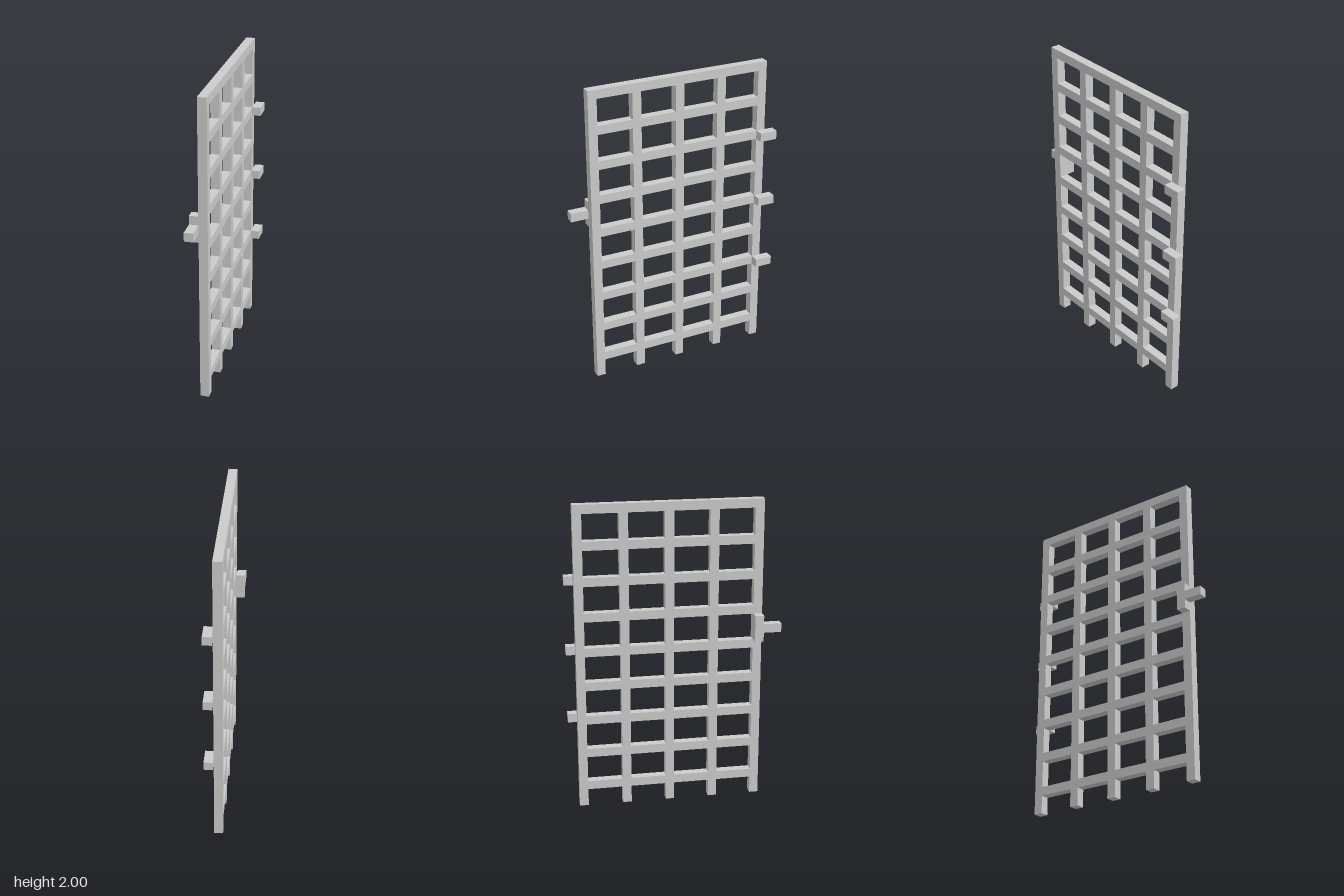
import * as THREE from 'three';

const U = 2 / 35; // one bar thickness
const material = new THREE.MeshStandardMaterial({ color: 0xcccccc, flatShading: true });

function rectangle(path, z0, y0, z1, y1) {
  path.moveTo(z0, y0);
  path.lineTo(z1, y0);
  path.lineTo(z1, y1);
  path.lineTo(z0, y1);
  path.closePath();
  return path;
}

// Box given by its limits in bar thicknesses
function block(name, [x0, x1], [y0, y1], [z0, z1]) {
  const geometry = new THREE.BoxGeometry((x1 - x0) * U, (y1 - y0) * U, (z1 - z0) * U);
  const mesh = new THREE.Mesh(geometry, material);
  mesh.position.set((x0 + x1) / 2 * U, (y0 + y1) / 2 * U, (z0 + z1) / 2 * U);
  mesh.name = name;
  return mesh;
}

// Lattice of five upright bars and nine rails, drawn in the z-y plane
function lattice() {
  const posts = [-11, -6, -1, 4, 9];
  const shape = new THREE.Shape();
  shape.moveTo(-11 * U, 2 * U);
  // feet of the upright bars, below the lowest rail
  for (const z of posts) {
    shape.lineTo(z * U, 2 * U);
    shape.lineTo(z * U, 0);
    shape.lineTo((z + 1) * U, 0);
    if (z < 9) shape.lineTo((z + 1) * U, 2 * U);
  }
  shape.lineTo(10 * U, 35 * U);
  shape.lineTo(-11 * U, 35 * U);
  shape.closePath();

  // openings between bars and rails
  for (const z of posts.slice(0, 4)) {
    for (let y = 3; y < 34; y += 4) {
      shape.holes.push(rectangle(new THREE.Path(), (z + 1) * U, y * U, (z + 5) * U, (y + 3) * U));
    }
  }
  const geometry = new THREE.ExtrudeGeometry(shape, { depth: U, bevelEnabled: false });
  geometry.translate(0, 0, -U / 2).rotateY(-Math.PI / 2);
  const mesh = new THREE.Mesh(geometry, material);
  mesh.name = 'lattice';
  return mesh;
}

export function createModel() {
  const gate = new THREE.Group();
  gate.name = 'gate';
  gate.add(lattice());

  // Hinges on the left face, reaching past the rear upright
  [10, 18, 26].forEach((y, i) => {
    gate.add(block('hinge' + (i + 1), [0.5, 1.5], [y, y + 1], [-12, -10]));
  });

  // Latch on the right face, with its bolt reaching forward
  const latch = new THREE.Group();
  latch.name = 'latch';
  latch.add(
    block('latchPlate', [-1.5, -0.5], [19, 22], [9, 10]),
    block('latchBolt', [-1.5, -0.5], [20, 21], [10, 12])
  );
  gate.add(latch);
  return gate;
}
